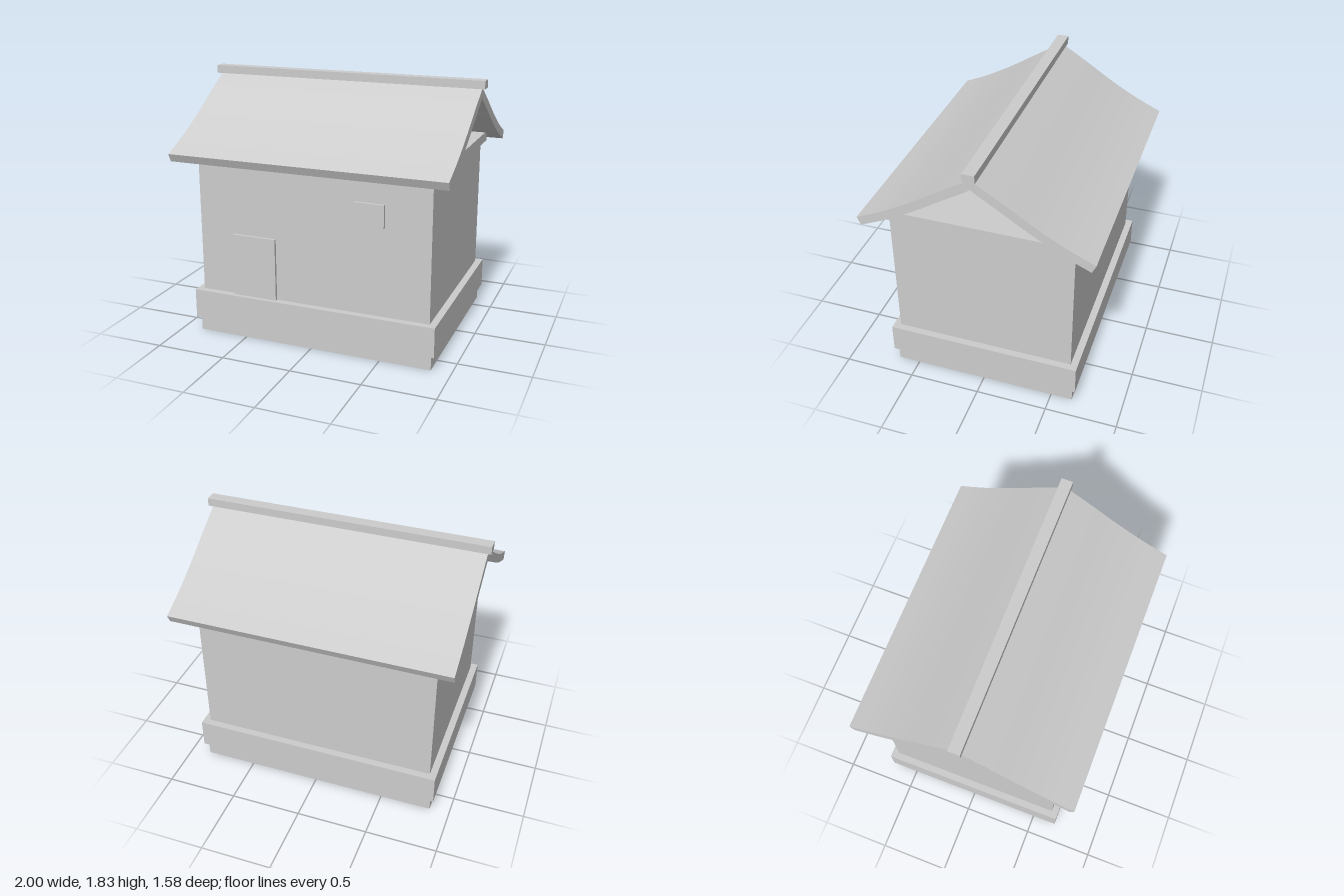
import * as THREE from 'three';
import { toCreasedNormals } from 'three/addons/utils/BufferGeometryUtils.js';

export function createModel() {
  const model = new THREE.Group();
  model.name = 'house';
  const grey = new THREE.MeshStandardMaterial({ color: 0xcccccc });
  grey.name = 'light grey';

  // Box given by its extents on each axis
  function box(name, [x0, x1], [y0, y1], [z0, z1]) {
    const mesh = new THREE.Mesh(new THREE.BoxGeometry(x1 - x0, y1 - y0, z1 - z0), grey);
    mesh.position.set((x0 + x1) / 2, (y0 + y1) / 2, (z0 + z1) / 2);
    mesh.name = name;
    model.add(mesh);
  }

  // Stepped base, walls and the plate on top of the walls
  box('foundation', [-0.86, 0.86], [0, 0.105], [-0.65, 0.653]);
  box('plinth', [-0.886, 0.886], [0.105, 0.315], [-0.675, 0.678]);
  box('walls', [-0.838, 0.838], [0.315, 1.27], [-0.626, 0.63]);
  box('wallPlate', [-0.873, 0.873], [1.27, 1.34], [-0.661, 0.664]);

  // Raised door and window panels on the front
  box('door', [-0.585, -0.263], [0.315, 0.76], [0.62, 0.65]);
  box('window', [0.31, 0.52], [0.935, 1.095], [0.62, 0.65]);

  // Roof: a gently curved slope with even thickness, mirrored at the ridge
  const slope = new THREE.SplineCurve([
    [0, 1.775], [0.2, 1.653], [0.4, 1.526], [0.6, 1.414], [0.788, 1.328],
  ].map(([x, y]) => new THREE.Vector2(x, y)));
  const steps = 20;
  const top = slope.getPoints(steps);
  const under = top.map((p, i) => {
    const t = slope.getTangent(i / steps);
    return i === 0
      ? new THREE.Vector2(0, 1.708)
      : new THREE.Vector2(p.x + t.y * 0.062, p.y - t.x * 0.062);
  }).filter((p, i) => i === 0 || p.x > 0.005);
  const mirrored = (points) => points.slice(1).reverse().map((p) => new THREE.Vector2(-p.x, p.y));
  const outline = [...mirrored(top), ...top, ...under.slice().reverse(),
    ...mirrored(under).reverse()];
  const length = 1.95;
  const roofGeometry = new THREE.ExtrudeGeometry(new THREE.Shape(outline), {
    depth: length, bevelEnabled: false,
  });
  roofGeometry.translate(0, 0, -length / 2).rotateY(Math.PI / 2);
  const roof = new THREE.Mesh(toCreasedNormals(roofGeometry, 0.5), grey);
  roof.name = 'roof';
  model.add(roof);

  // Ridge beam
  box('ridgeBeam', [-1, 1], [1.772, 1.828], [-0.041, 0.041]);

  return model;
}
